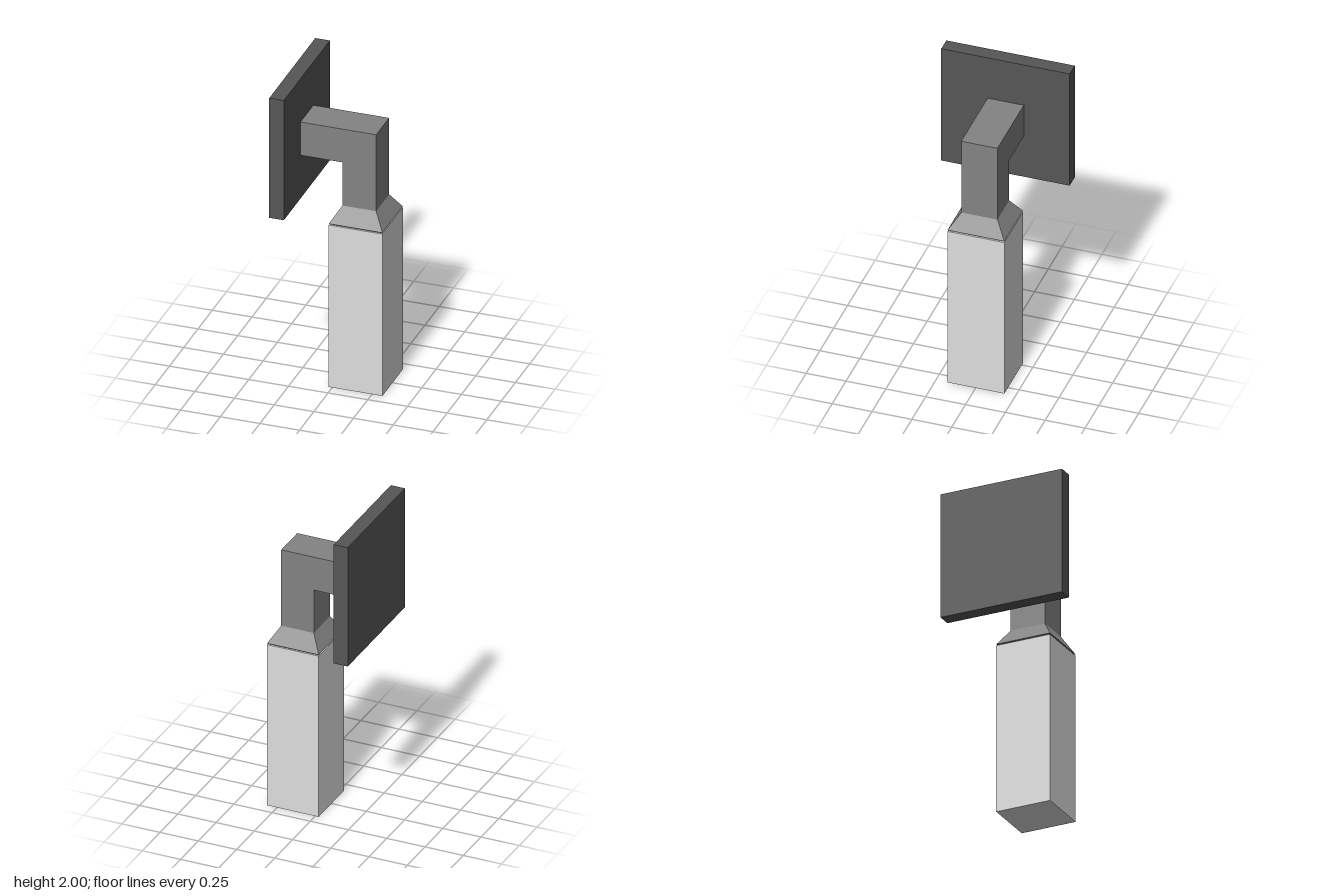
import * as THREE from 'three';

const paint = (name, color) => {
  const m = new THREE.MeshStandardMaterial({ color });
  m.name = name;
  return m;
};

// Box tapering from its bottom size to its top size, given as [width, depth]
function taperedBox(bottom, top, y0, y1) {
  const g = new THREE.BoxGeometry(1, y1 - y0, 1);
  g.translate(0, (y0 + y1) / 2, 0);
  const p = g.attributes.position;
  for (let i = 0; i < p.count; i++) {
    const [w, d] = p.getY(i) > (y0 + y1) / 2 ? top : bottom;
    p.setX(i, p.getX(i) * w);
    p.setZ(i, p.getZ(i) * d);
  }
  const flat = g.toNonIndexed();
  flat.computeVertexNormals();
  return flat;
}

export function createModel() {
  const model = new THREE.Group();
  const darkMetal = paint('dark grey metal', 0x565656);
  const metal = paint('mid grey metal', 0x838383);
  const glass = paint('pale grey shade', 0xdedede);

  const add = (name, geometry, material, x = 0, y = 0, z = 0) => {
    const mesh = new THREE.Mesh(geometry, material);
    mesh.name = name;
    mesh.position.set(x, y, z);
    model.add(mesh);
  };

  // Square plate against the wall
  add('wallPlate', new THREE.BoxGeometry(0.092, 0.804, 0.806), darkMetal, -0.27, 1.598, 0);

  // Square-section arm, bent down at a right angle
  const elbow = new THREE.Shape([
    [-0.225, 1.487], [0.04, 1.487], [0.04, 1.197],
    [0.253, 1.197], [0.253, 1.71], [-0.225, 1.71],
  ].map(([x, y]) => new THREE.Vector2(x, y)));
  add('arm', new THREE.ExtrudeGeometry(elbow, { depth: 0.227, bevelEnabled: false }),
    metal, 0, 0, -0.115);

  // Flared collar with a narrow recessed lip beneath
  const axis = 0.1465;
  add('collar', taperedBox([0.338, 0.357], [0.213, 0.227], 1.096, 1.197), metal, axis, 0, -0.0015);
  add('collarLip', taperedBox([0.312, 0.331], [0.338, 0.357], 1.086, 1.096), metal, axis, 0, -0.0015);

  // Long square shade
  add('shade', new THREE.BoxGeometry(0.338, 1.087, 0.357), glass, axis, 0.5435, -0.0015);

  return model;
}
